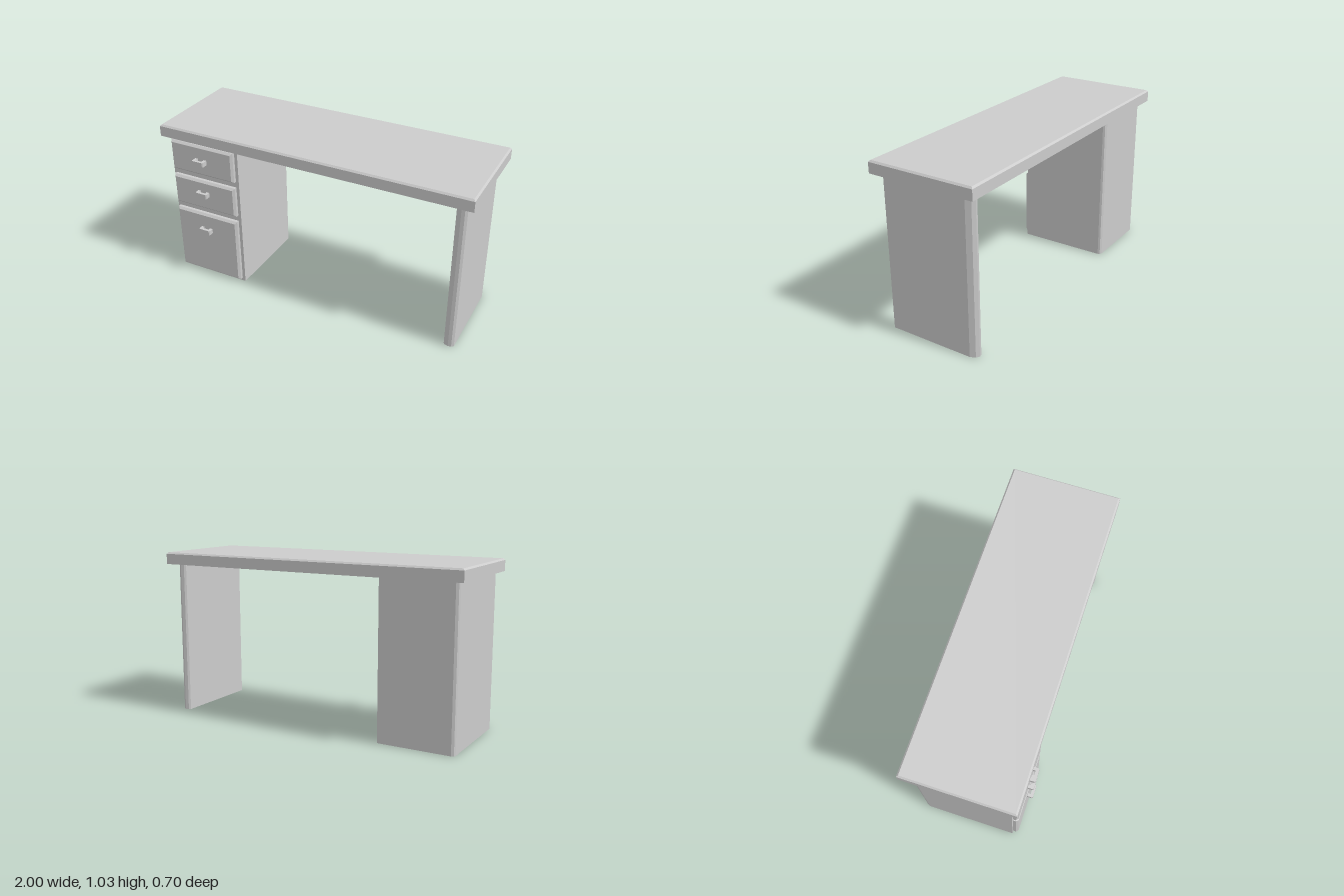
import * as THREE from 'three';

const material = new THREE.MeshStandardMaterial({ color: 0xcccccc, flatShading: true });

function addPart(parent, name, geometry, x = 0, y = 0, z = 0) {
  const mesh = new THREE.Mesh(geometry, material);
  mesh.name = name;
  mesh.position.set(x, y, z);
  parent.add(mesh);
  return mesh;
}

// Upright prism from a plan outline of [x, z] points
function prism(plan, height) {
  const shape = new THREE.Shape(plan.map(([x, z]) => new THREE.Vector2(x, -z)));
  return new THREE.ExtrudeGeometry(shape, { depth: height, bevelEnabled: false }).rotateX(-Math.PI / 2);
}

// Box whose four +z edges are chamfered
function chamferedSlab(w, h, d, bevel) {
  const geometry = new THREE.BoxGeometry(w, h, d, 1, 1, 2).toNonIndexed();
  const p = geometry.attributes.position;
  for (let i = 0; i < p.count; i++) {
    const z = p.getZ(i);
    if (Math.abs(z) < 1e-6) p.setZ(i, d / 2 - bevel);
    else if (z > 0) {
      p.setX(i, p.getX(i) - Math.sign(p.getX(i)) * bevel);
      p.setY(i, p.getY(i) - Math.sign(p.getY(i)) * bevel);
    }
  }
  geometry.computeVertexNormals();
  return geometry;
}

export function createModel() {
  const desk = new THREE.Group();
  desk.name = 'desk';

  // Worktop, chamfered along its upper edges
  const top = chamferedSlab(2, 0.675, 0.075, 0.01).rotateX(-Math.PI / 2);
  addPart(desk, 'worktop', top, 0, 0.9975, -0.0125);

  // Drawer cabinet with eased back corners
  addPart(desk, 'cabinet', prism([
    [-0.96, 0.28], [-0.48, 0.28], [-0.48, -0.285], [-0.485, -0.298],
    [-0.5, -0.305], [-0.94, -0.305], [-0.955, -0.298], [-0.96, -0.285],
  ], 0.96));

  // Side panel with rounded front and back edges
  addPart(desk, 'sidePanel', prism([
    [0.89, 0.27], [0.9, 0.28], [0.92, 0.285], [0.94, 0.282], [0.953, 0.27],
    [0.953, -0.265], [0.94, -0.297], [0.92, -0.31], [0.9, -0.305], [0.89, -0.295],
  ], 0.96));

  // Drawers: bottom, top, handle height, handle reach
  const drawers = [
    [0.74, 0.94, 0.84, 0.353],
    [0.5, 0.7, 0.615, 0.347],
    [0.02, 0.46, 0.348, 0.347],
  ];
  drawers.forEach(([y0, y1, handleY, reach], i) => {
    const drawer = new THREE.Group();
    drawer.name = `drawer${i + 1}`;
    desk.add(drawer);
    addPart(drawer, 'drawerFront', chamferedSlab(0.445, y1 - y0, 0.035, 0.013), -0.7225, (y0 + y1) / 2, 0.2945);

    // Bracket pull: two short legs joined by a bar
    const pull = prism([
      [-0.04, 0.305], [-0.04, reach - 0.006], [-0.034, reach], [0.034, reach], [0.04, reach - 0.006],
      [0.04, 0.305], [0.022, 0.305], [0.022, reach - 0.018], [-0.022, reach - 0.018], [-0.022, 0.305],
    ], 0.03);
    addPart(drawer, 'handle', pull, -0.725, handleY - 0.015, 0);
  });

  return desk;
}
